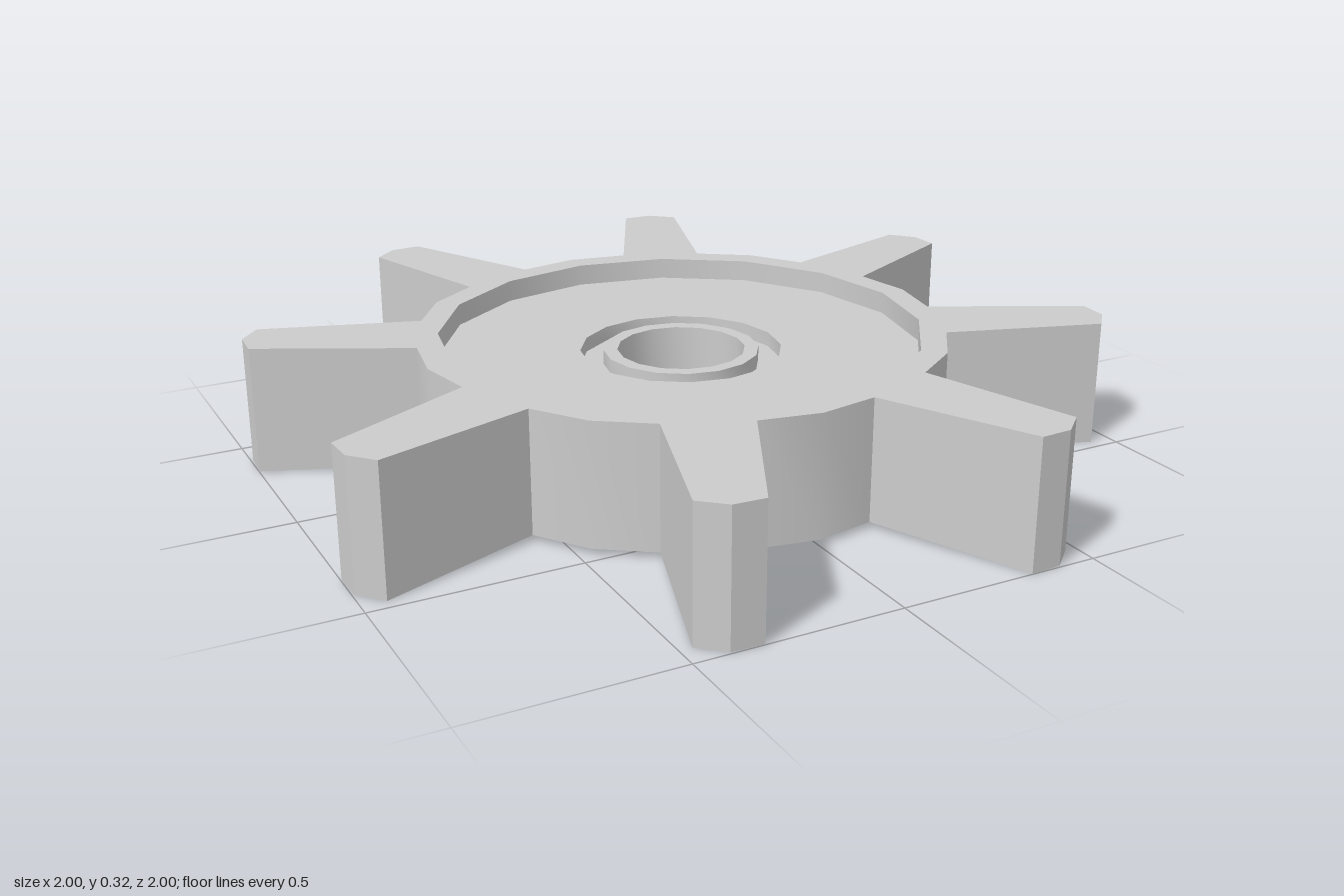
import * as THREE from 'three';
import { toCreasedNormals } from 'three/addons/utils/BufferGeometryUtils.js';

const TEETH = 8, SIDES = 16, HEIGHT = 0.32;
const RIM = 0.602; // inner radius of the toothed ring

const polar = (radius, degrees) => {
  const a = THREE.MathUtils.degToRad(degrees);
  return new THREE.Vector2(radius * Math.cos(a), radius * Math.sin(a));
};

// Toothed ring: one gap and one tapered tooth, repeated around the axis
function toothedRing() {
  const pitch = 360 / TEETH;
  const step = [[0.666, 0], [0.656, 13.3], [1.053, 18.5], [1.076, 22.5], [1.053, 26.5], [0.656, 31.7]];
  const outline = [];
  for (let i = 0; i < TEETH; i++) {
    for (const [r, a] of step) outline.push(polar(r, a + i * pitch));
  }
  const shape = new THREE.Shape(outline);
  const hole = Array.from({ length: SIDES }, (_, i) => polar(RIM, -i * 360 / SIDES));
  shape.holes.push(new THREE.Path(hole));

  const geo = new THREE.ExtrudeGeometry(shape, { depth: HEIGHT, bevelEnabled: false });
  geo.rotateX(-Math.PI / 2);

  // The underside drops slightly from the ring to the tooth tips
  const p = geo.attributes.position;
  for (let i = 0; i < p.count; i++) {
    if (p.getY(i) > HEIGHT / 2) continue;
    const r = Math.hypot(p.getX(i), p.getZ(i));
    p.setY(i, 0.015 * (1 - THREE.MathUtils.smoothstep(r, 0.67, 1.05)));
  }
  return geo;
}

// Recessed web with a groove around the bored hub, on both faces
function webAndHub() {
  const top = 0.265, bottom = 0.05, groove = 0.037;
  const profile = [
    [RIM, top], [0.252, top], [0.252, top - groove], [0.195, top - groove], [0.195, top], [0.16, top],
    [0.16, bottom], [0.195, bottom], [0.195, bottom + groove], [0.252, bottom + groove], [0.252, bottom], [RIM, bottom],
  ].map(([r, y]) => new THREE.Vector2(r, y));
  return new THREE.LatheGeometry(profile, SIDES);
}

export function createModel() {
  const group = new THREE.Group();
  group.name = 'gearWheel';
  const material = new THREE.MeshStandardMaterial({ color: 0xcccccc });
  const add = (name, geometry) => {
    const mesh = new THREE.Mesh(toCreasedNormals(geometry, 0.5), material);
    mesh.name = name;
    group.add(mesh);
  };
  add('toothedRing', toothedRing());
  add('webAndHub', webAndHub());
  return group;
}
